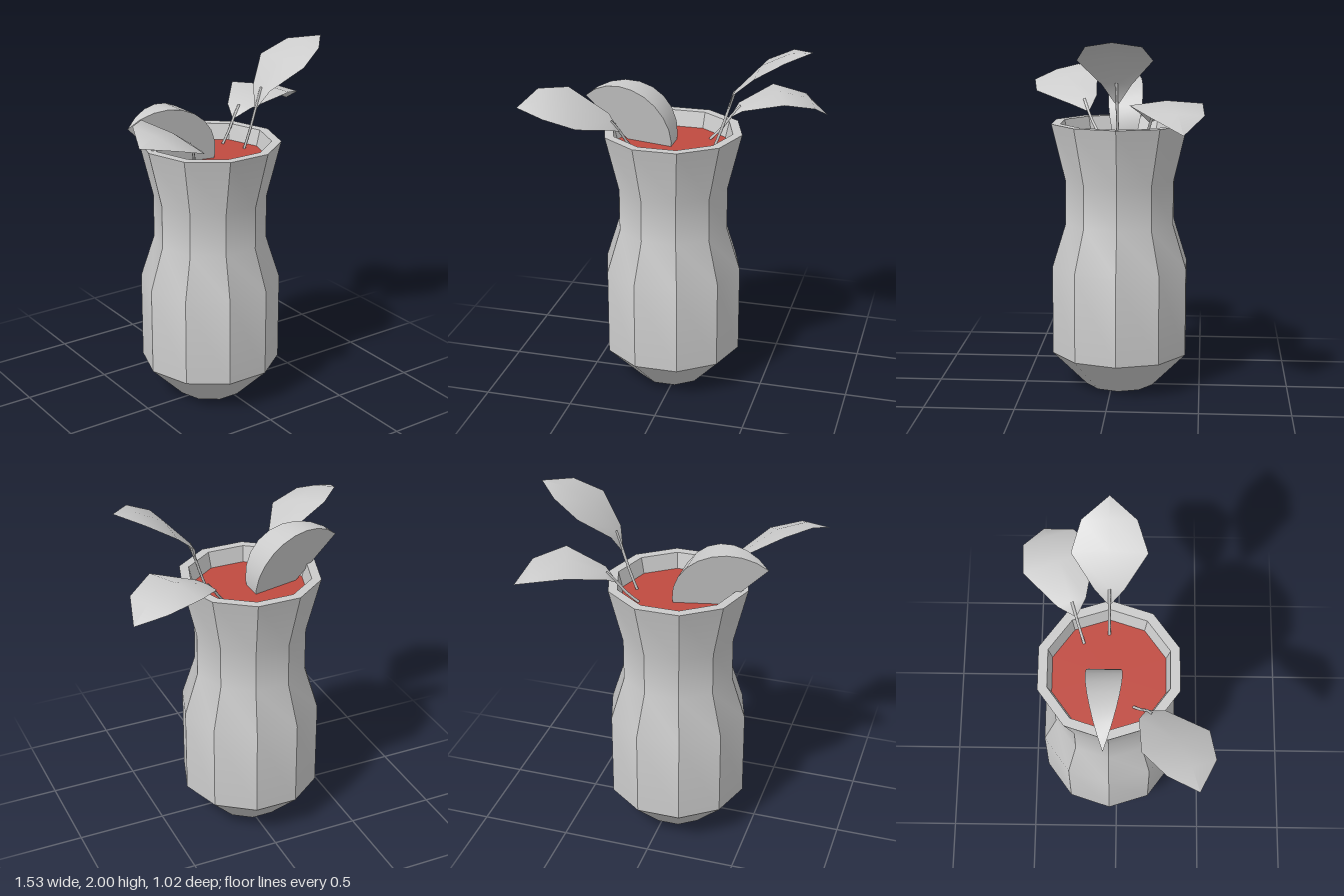
import * as THREE from 'three';
import { toCreasedNormals } from 'three/addons/utils/BufferGeometryUtils.js';

const grey = new THREE.MeshStandardMaterial({ color: 0xcccccc });
const sheet = new THREE.MeshStandardMaterial({ color: 0xcccccc, side: THREE.DoubleSide });
const red = new THREE.MeshStandardMaterial({ color: 0xc04a40 });
const CX = -0.04, CZ = -0.043, FILL_Y = 1.42;
const V = (a) => new THREE.Vector3(...a);

function part(name, geometry, material = grey) {
  const mesh = new THREE.Mesh(geometry, material);
  mesh.name = name;
  return mesh;
}

// Blade: three points across at each station of the midrib, edges drooping slightly
function bladeGeometry(midrib, side) {
  const halfWidths = [0.012, 0.08, 0.2, 0.145, 0];
  const pos = [], index = [];
  midrib.forEach((p, i) => {
    for (const k of [-1, 0, 1]) {
      const v = V(p).addScaledVector(side, k * halfWidths[i]);
      v.y -= Math.abs(k) * halfWidths[i] * 0.1;
      pos.push(v.x, v.y, v.z);
    }
    if (i === midrib.length - 1) return;
    for (let k = 0; k < 2; k++) {
      const a = i * 3 + k, b = a + 3;
      index.push(a, a + 1, b, a + 1, b + 1, b);
    }
  });
  const g = new THREE.BufferGeometry();
  g.setAttribute('position', new THREE.Float32BufferAttribute(pos, 3));
  g.setIndex(index);
  g.computeVertexNormals();
  return g;
}

// Leaf: a thin stem from the filling plus an arching blade
function leaf(name, root, midrib, side) {
  const group = new THREE.Group();
  group.name = name;
  const start = V(root), end = V(midrib[0]);
  const bend = start.clone().lerp(end, 0.5);
  bend.y -= 0.01;
  const path = new THREE.CatmullRomCurve3([start, bend, end, V(midrib[1])]);
  group.add(part('stem', new THREE.TubeGeometry(path, 6, 0.008, 5)));
  group.add(part('blade', bladeGeometry(midrib, V(side).normalize()), sheet));
  return group;
}

// Wedge: a half disc whose thickness grows with distance from its straight edge
function wedgeGeometry(radius, spread) {
  const shape = new THREE.Shape();
  const n = 12;
  for (let i = 0; i <= n; i++) {
    const a = (i / n) * Math.PI;
    const x = radius * Math.cos(a), y = radius * Math.sin(a);
    if (i) shape.lineTo(x, y); else shape.moveTo(x, y);
  }
  const g = new THREE.ExtrudeGeometry(shape, { depth: 2, bevelEnabled: false });
  g.translate(0, 0, -1);
  const p = g.attributes.position;
  for (let i = 0; i < p.count; i++) p.setZ(i, p.getZ(i) * p.getY(i) * spread);
  return toCreasedNormals(g, 0.5);
}

export function createModel() {
  const model = new THREE.Group();
  model.name = 'pottedLeaves';

  // Ten-sided vase with a rim and inner wall
  const profile = [
    [0, 0], [0.197, 0], [0.395, 0.2], [0.395, 0.7], [0.317, 0.945],
    [0.317, 1.19], [0.395, 1.51], [0.342, 1.51], [0.317, 1.41],
  ].map(([r, y]) => new THREE.Vector2(r, y));
  const lathe = new THREE.LatheGeometry(profile, 10, Math.PI / 2);
  const vase = part('vase', toCreasedNormals(lathe, 0.52));
  vase.position.set(CX, 0, CZ);
  model.add(vase);

  // Flat filling just below the rim
  const filling = part('filling', new THREE.CircleGeometry(0.32, 10).rotateX(-Math.PI / 2), red);
  filling.position.set(CX, FILL_Y, CZ);
  model.add(filling);

  // Three leaves leaning over the rim
  model.add(leaf('tallLeaf', [0.195, FILL_Y, -0.045],
    [[0.275, 1.65, -0.045], [0.31, 1.76, -0.045], [0.45, 1.91, -0.045], [0.6, 1.985, -0.048], [0.725, 2, -0.048]],
    [0, 0, 1]));
  model.add(leaf('backLeaf', [0.14, FILL_Y, -0.18],
    [[0.25, 1.55, -0.225], [0.3, 1.61, -0.245], [0.5, 1.69, -0.315], [0.67, 1.64, -0.378], [0.765, 1.54, -0.41]],
    [0.34, 0, 0.94]));
  model.add(leaf('frontLeaf', [-0.22, FILL_Y, 0.09],
    [[-0.285, 1.55, 0.16], [-0.325, 1.61, 0.185], [-0.5, 1.725, 0.302], [-0.65, 1.755, 0.38], [-0.77, 1.72, 0.42]],
    [-0.4, 0.3, -0.89]));

  // Wedge slice half sunk in the filling
  const wedge = part('wedgeSlice', wedgeGeometry(0.3, 0.325));
  wedge.position.set(-0.335, 1.445, -0.068);
  wedge.rotation.z = -Math.PI / 4;
  model.add(wedge);

  return model;
}
